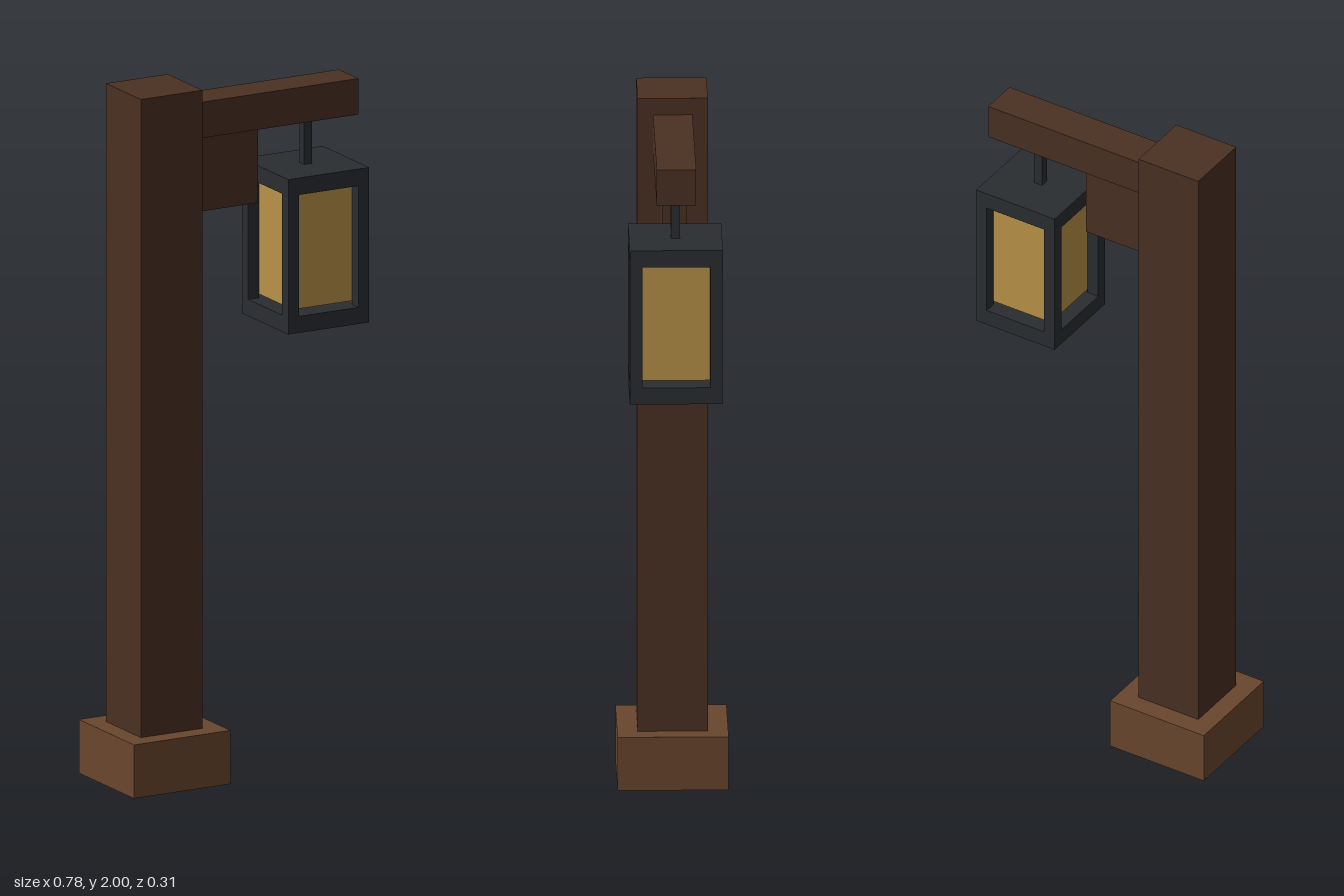
import * as THREE from 'three';

const mat = (color) => new THREE.MeshStandardMaterial({ color, flatShading: true });

export function createModel() {
  const model = new THREE.Group();
  const darkWood = mat(0x4a3022);
  const lightWood = mat(0x69462d);
  const iron = mat(0x2a2d31);
  const glass = mat(0xb89147);

  // Box given by its min and max corners
  const box = (name, material, [x0, y0, z0], [x1, y1, z1], parent = model) => {
    const mesh = new THREE.Mesh(new THREE.BoxGeometry(x1 - x0, y1 - y0, z1 - z0), material);
    mesh.position.set((x0 + x1) / 2, (y0 + y1) / 2, (z0 + z1) / 2);
    mesh.name = name;
    parent.add(mesh);
    return mesh;
  };

  // Square collar around the foot of the post
  const square = (Type, r) => new Type([
    new THREE.Vector2(-r, -r), new THREE.Vector2(r, -r),
    new THREE.Vector2(r, r), new THREE.Vector2(-r, r),
  ]);
  const outline = square(THREE.Shape, 0.155);
  outline.holes.push(square(THREE.Path, 0.098));
  const baseGeometry = new THREE.ExtrudeGeometry(outline, { depth: 0.155, bevelEnabled: false });
  baseGeometry.rotateX(-Math.PI / 2);
  const base = new THREE.Mesh(baseGeometry, lightWood);
  base.position.x = -0.235;
  base.name = 'base';
  model.add(base);

  // Post, arm and hanging block
  box('post', darkWood, [-0.335, 0, -0.098], [-0.137, 2, 0.098]);
  box('arm', darkWood, [-0.137, 1.848, -0.055], [0.388, 1.952, 0.055]);
  box('bracket', darkWood, [-0.11, 1.63, -0.034], [0.077, 1.848, 0.034]);
  box('hanger', iron, [0.237, 1.714, -0.013], [0.263, 1.848, 0.013]);

  // Lantern: two plates, four corner bars and a glass block
  const lantern = new THREE.Group();
  lantern.name = 'lantern';
  lantern.position.x = 0.25;
  model.add(lantern);
  const R = 0.13, r = 0.095;
  box('lanternTop', iron, [-R, 1.665, -R], [R, 1.714, R], lantern);
  box('lanternBottom', iron, [-R, 1.266, -R], [R, 1.314, R], lantern);
  for (const sx of [-1, 1]) {
    for (const sz of [-1, 1]) {
      const w = (R - r) / 2, cx = sx * (R - w), cz = sz * (R - w);
      box('lanternBar', iron, [cx - w, 1.314, cz - w], [cx + w, 1.665, cz + w], lantern);
    }
  }
  box('lanternGlass', glass, [-r, 1.325, -r], [r, 1.665, r], lantern);

  return model;
}
